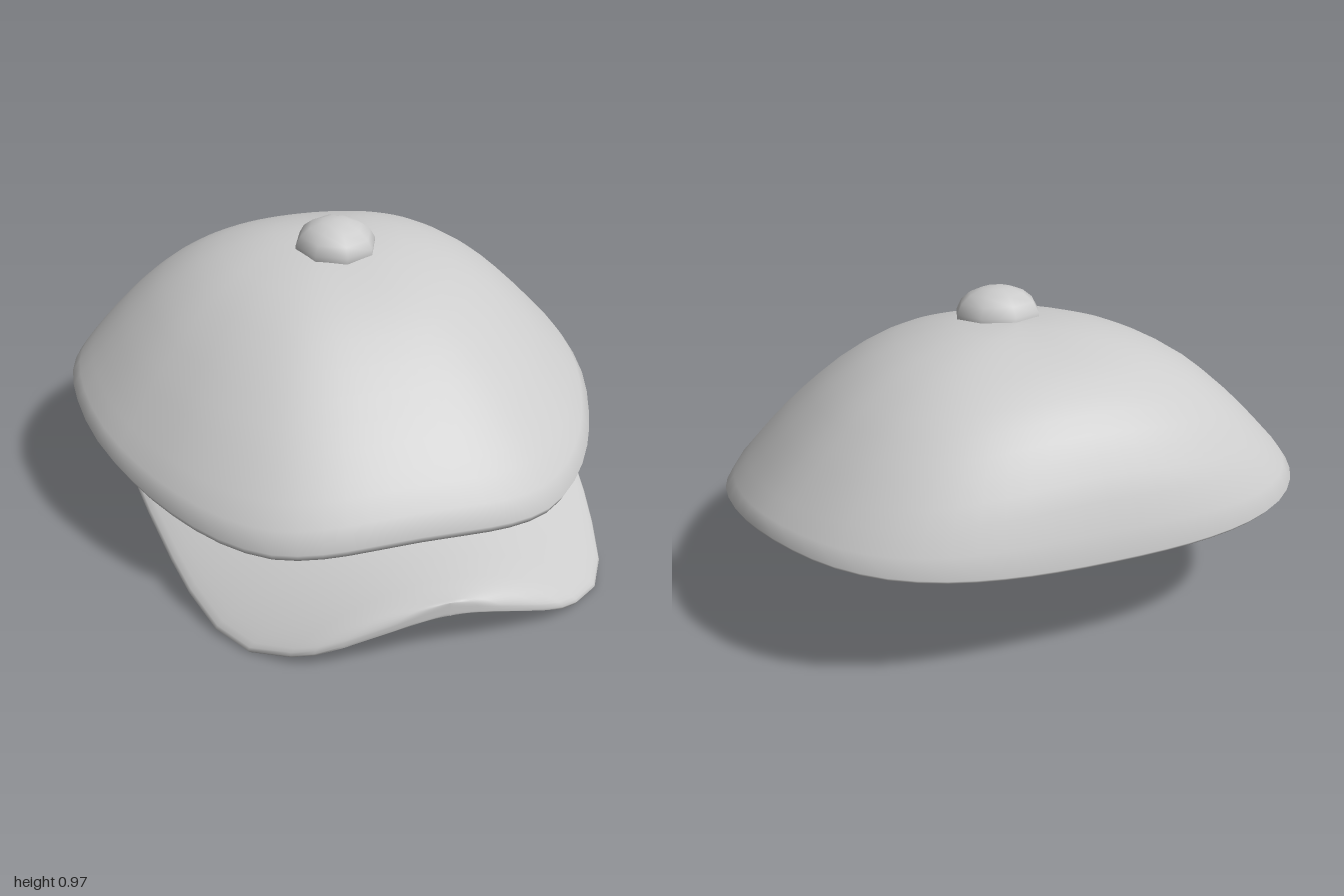
import * as THREE from 'three';

const lerp = THREE.MathUtils.lerp;

// Smooth skin over closed rings of points
function loft(rings) {
  const n = rings[0].length, pos = [], idx = [];
  rings.forEach(r => r.forEach(p => pos.push(...p)));
  for (let i = 0; i < rings.length - 1; i++) {
    for (let j = 0; j < n; j++) {
      const k = (j + 1) % n;
      const a = i * n + j, b = a + n, c = (i + 1) * n + k, d = i * n + k;
      idx.push(a, b, c, a, c, d);
    }
  }
  const g = new THREE.BufferGeometry();
  g.setAttribute('position', new THREE.Float32BufferAttribute(pos, 3));
  g.setIndex(idx);
  g.computeVertexNormals();
  return g;
}

// Rim of the crown, front centre to back centre (x, y, z)
const RIM = [
  [0, 0.258, 0.745], [0.16, 0.253, 0.742], [0.31, 0.243, 0.725], [0.46, 0.238, 0.673],
  [0.6, 0.252, 0.56], [0.72, 0.28, 0.4], [0.81, 0.308, 0.22], [0.885, 0.345, 0],
  [0.917, 0.38, -0.25], [0.906, 0.4, -0.45], [0.852, 0.4, -0.63], [0.772, 0.392, -0.77],
  [0.652, 0.381, -0.88], [0.5, 0.372, -0.95], [0.34, 0.366, -0.985], [0.18, 0.362, -0.998], [0, 0.36, -1],
];
const CENTRE_Z = -0.33, TOP = 0.887, UNDER = 0.345;

// Rise of the crown from rim (0) to top (1) at fractions of the radius
const RADII = [0, 0.1, 0.2, 0.3, 0.4, 0.48, 0.55, 0.63, 0.7, 0.77, 0.82, 0.88, 0.92, 0.97, 1];
const FRONT = [1, 0.995, 0.977, 0.938, 0.882, 0.82, 0.75, 0.655, 0.56, 0.46, 0.382, 0.28, 0.205, 0.105, 0];
const SIDE = [1, 0.997, 0.987, 0.955, 0.9, 0.838, 0.77, 0.675, 0.572, 0.455, 0.365, 0.25, 0.17, 0.072, 0];
const BACK = [1, 0.994, 0.976, 0.954, 0.921, 0.888, 0.848, 0.788, 0.722, 0.633, 0.552, 0.425, 0.322, 0.15, 0];
// Underside: radius, share of the rim roll, blend to the flat middle
const BELOW = [[0.988, 0.6, 0], [0.96, 1, 0], [0.87, 1, 0.3], [0.6, 1, 0.9], [0.3, 1, 1], [0, 1, 1]];

function crownGeometry() {
  const mirrored = RIM.slice(1, -1).reverse().map(([x, y, z]) => [-x, y, z]);
  const curve = new THREE.CatmullRomCurve3(
    [...RIM, ...mirrored].map(p => new THREE.Vector3(...p)), true);
  const rim = curve.getPoints(64).slice(0, -1);
  const at = (p, s, y) => [p.x * s, y, CENTRE_Z + (p.z - CENTRE_Z) * s];
  const rings = RADII.map((s, i) => rim.map(p => {
    const dz = p.z - CENTRE_Z;
    const w = dz * dz / (dz * dz + p.x * p.x);
    const rise = lerp(SIDE[i], dz > 0 ? FRONT[i] : BACK[i], w);
    return at(p, s, lerp(p.y, TOP, rise));
  }));
  BELOW.forEach(([s, roll, flat]) => rings.push(rim.map(p =>
    at(p, s, lerp(p.y - roll * (0.032 + 0.015 * p.z), UNDER, flat)))));
  return loft(rings);
}

// Brim sections, front to back: z, half width, underside at edge, underside at centre
const BRIM = [
  [0.997, 0, 0.14, 0.14], [0.995, 0.09, 0.124, 0.141], [0.987, 0.17, 0.1, 0.143],
  [0.96, 0.32, 0.05, 0.147], [0.935, 0.4, 0.022, 0.152], [0.9, 0.465, 0.004, 0.158],
  [0.81, 0.572, -0.02, 0.172], [0.69, 0.645, -0.008, 0.19], [0.53, 0.695, 0.03, 0.225],
  [0.4, 0.724, 0.071, 0.262], [0.2, 0.758, 0.133, 0.32], [0, 0.785, 0.196, 0.365],
  [-0.2, 0.802, 0.259, 0.4], [-0.42, 0.805, 0.328, 0.43], [-0.44, 0.79, 0.355, 0.45],
];

function brimGeometry() {
  const N = 48, T = 0.047;
  const rings = BRIM.map(([z, hw, edge, mid], i) => Array.from({ length: N }, (_, j) => {
    const a = j / N * Math.PI * 2, u = Math.cos(a), v = Math.sin(a);
    const thick = i === BRIM.length - 1 ? 0 : T;
    const lift = thick / 2 * (1 + Math.sign(v) * Math.sqrt(Math.abs(v)));
    return [u * hw, edge + (mid - edge) * (1 - Math.pow(Math.abs(u), 2.1)) + lift, z];
  }));
  return loft(rings);
}

export function createModel() {
  const cap = new THREE.Group();
  cap.name = 'flatCap';
  const cloth = new THREE.MeshStandardMaterial({ color: 0xcccccc });
  cloth.name = 'greyCloth';
  const add = (name, geometry) => {
    const mesh = new THREE.Mesh(geometry, cloth);
    mesh.name = name;
    cap.add(mesh);
    return mesh;
  };

  add('crown', crownGeometry());
  add('brim', brimGeometry());

  // Domed button on top, leaning with the crown
  const button = add('topButton', new THREE.SphereGeometry(0.145, 8, 5, 0, Math.PI * 2, 0, Math.PI * 0.55));
  button.scale.y = 0.7;
  button.rotation.x = 0.08;
  button.position.set(0, 0.87, -0.185);

  return cap;
}
